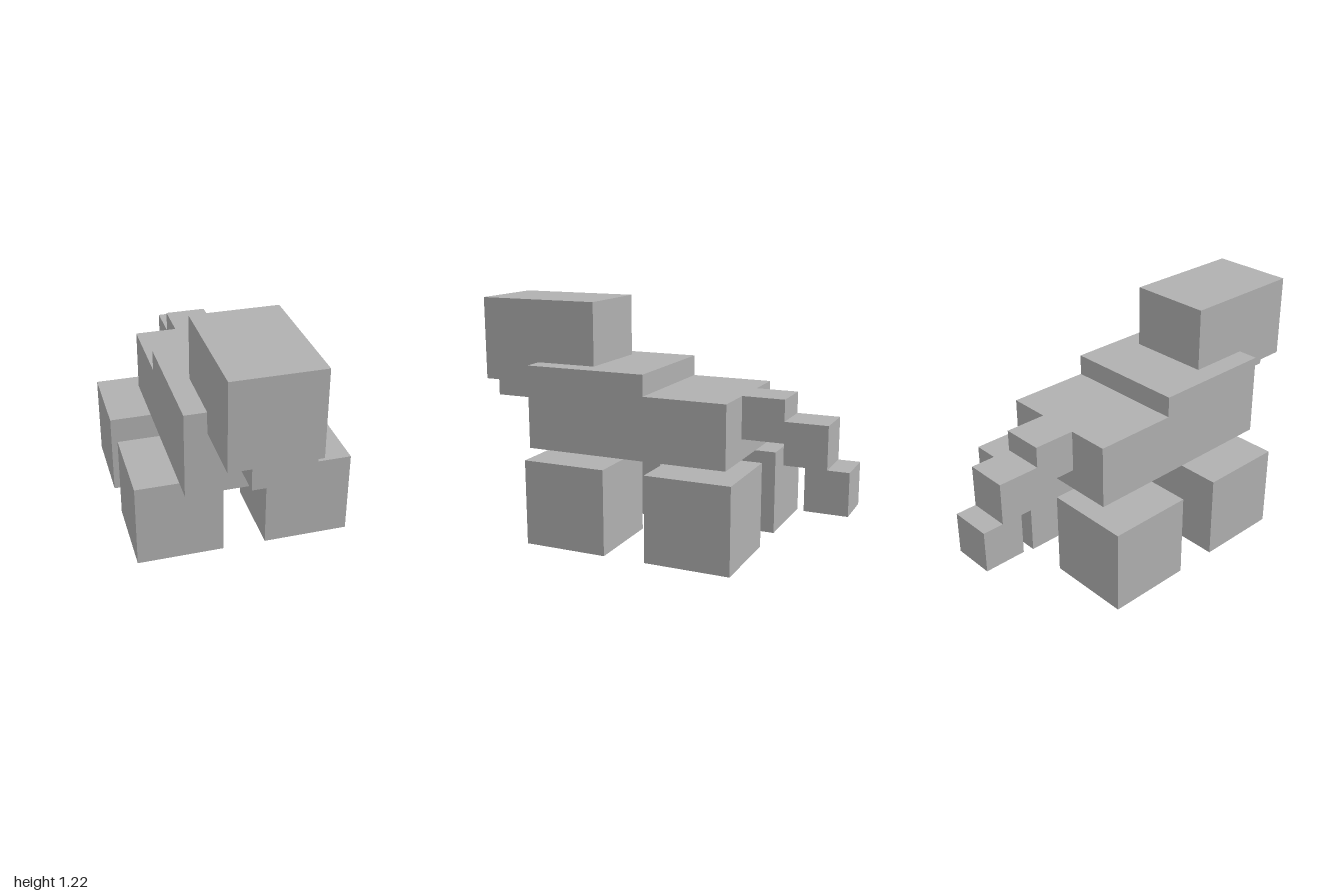
import * as THREE from 'three';

// One block of the modelling grid
const U = 1 / 9;

export function createModel() {
  const model = new THREE.Group();
  model.name = 'blockAnimal';

  const grey = new THREE.MeshStandardMaterial({ color: 0xb0b0b0 });
  grey.name = 'grey';

  // Box from its ranges in grid blocks
  function block(name, [x0, x1], [y0, y1], [z0, z1], parent = model) {
    const geometry = new THREE.BoxGeometry((x1 - x0) * U, (y1 - y0) * U, (z1 - z0) * U);
    const mesh = new THREE.Mesh(geometry, grey);
    mesh.name = name;
    mesh.position.set((x0 + x1) / 2 * U, (y0 + y1) / 2 * U, (z0 + z1) / 2 * U);
    parent.add(mesh);
    return mesh;
  }

  // Body: tall chest and lower hindquarters
  block('chest', [-3, 3], [4, 8], [0, 6]);
  block('hindquarters', [-3, 3], [4, 7], [-4, 0]);

  // Head, sunk into the chest, with a small jaw
  block('head', [-2, 2], [7, 11], [3, 9]);
  block('jaw', [-1, 1], [6, 7], [7, 9]);

  // Four cube legs
  for (const [side, x] of [['Left', [1, 5]], ['Right', [-5, -1]]]) {
    block('front' + side + 'Leg', x, [0, 4], [1, 5]);
    block('back' + side + 'Leg', x, [0, 4], [-5, -1]);
  }

  // Tail stepping down behind the body
  const tail = new THREE.Group();
  tail.name = 'tail';
  model.add(tail);
  block('tailBase', [-1, 1], [5, 7], [-6, -4], tail);
  block('tailMiddle', [-1, 1], [4, 6], [-8, -6], tail);
  block('tailTip', [-1, 1], [2, 4], [-9, -7], tail);

  return model;
}
